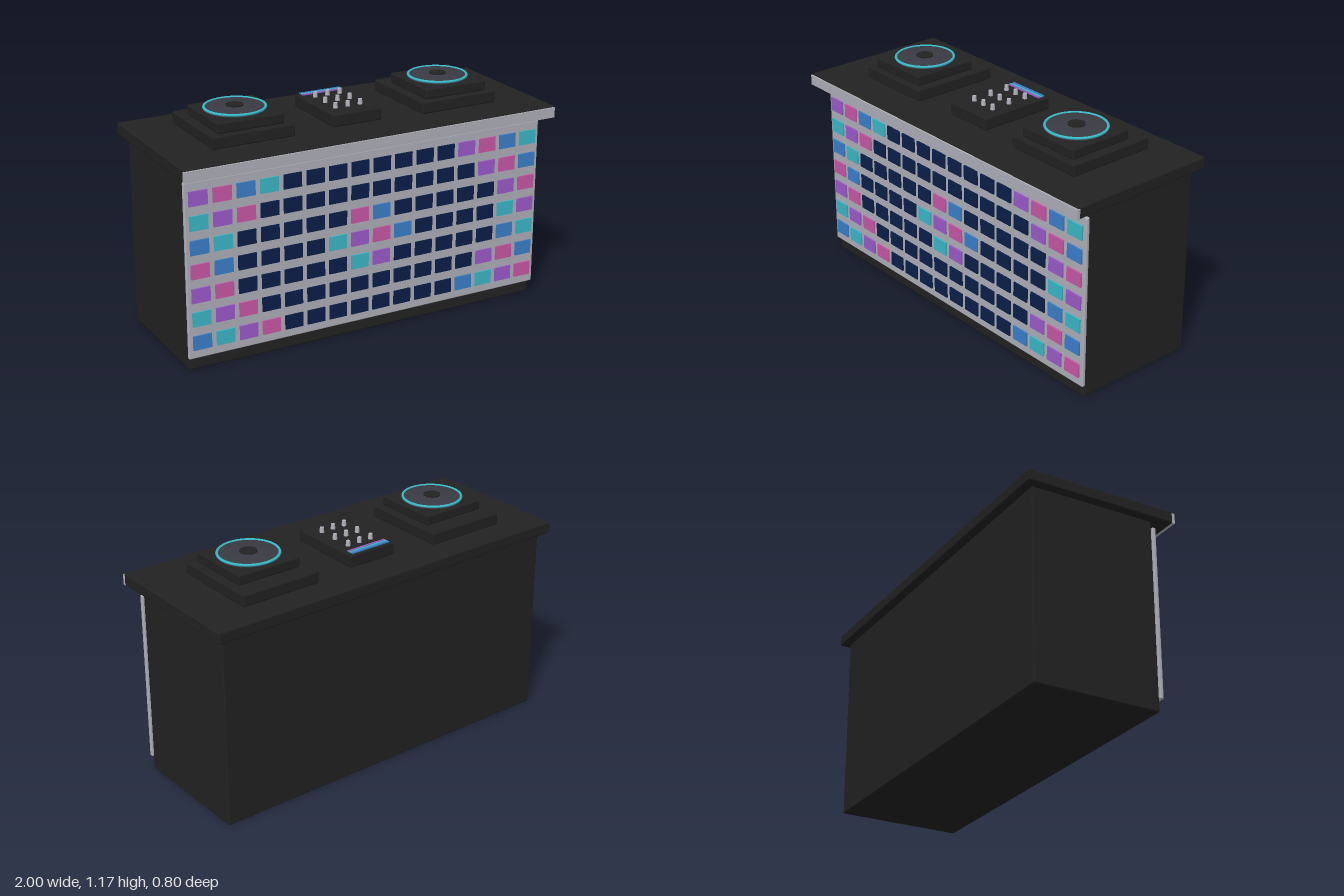
import * as THREE from 'three';
import { RoundedBoxGeometry } from 'three/addons/geometries/RoundedBoxGeometry.js';

const material = (name, color) => {
  const m = new THREE.MeshStandardMaterial({ color });
  m.name = name;
  return m;
};

export function createModel() {
  const black = material('black', 0x222222);
  const silver = material('silver', 0xb0b1ba);
  const slate = material('slate', 0x3a3a44);
  const navy = material('navy', 0x0b1f4a);
  const cyan = material('cyan', 0x3ab8c8);
  const blue = material('blue', 0x3a80cc);
  const purple = material('purple', 0x9c5acc);
  const pink = material('pink', 0xca58a8);

  const model = new THREE.Group();
  model.name = 'djBooth';

  const add = (parent, name, geometry, mat, x = 0, y = 0, z = 0) => {
    const mesh = new THREE.Mesh(geometry, mat);
    mesh.name = name;
    mesh.position.set(x, y, z);
    parent.add(mesh);
    return mesh;
  };
  // Box given by its limits on each axis; r rounds the edges
  const box = (parent, name, mat, [x0, x1], [y0, y1], [z0, z1], r = 0) => {
    const size = [x1 - x0, y1 - y0, z1 - z0];
    const g = r ? new RoundedBoxGeometry(...size, 2, r) : new THREE.BoxGeometry(...size);
    return add(parent, name, g, mat, (x0 + x1) / 2, (y0 + y1) / 2, (z0 + z1) / 2);
  };

  // Desk
  box(model, 'body', black, [-0.96, 0.96], [0, 0.972], [-0.36, 0.292], 0.008);
  box(model, 'tabletop', black, [-1, 1], [0.972, 1.032], [-0.4, 0.392], 0.008);
  box(model, 'frontTrim', silver, [-1, 1], [0.972, 1.024], [0.384, 0.4]);
  box(model, 'frontPanel', silver, [-0.968, 0.968], [0.065, 0.94], [0.292, 0.312], 0.006);

  // Light grid on the front panel
  const pattern = [
    'PKBC........PKBC',
    'CPK..........PKB',
    'BC.....KB.....PK',
    'KB....CPKB....CP',
    'PK.....CP.....BC',
    'CPK..........PKB',
    'BCPK........BCPK',
  ];
  const palette = { P: purple, K: pink, B: blue, C: cyan, '.': navy };
  const cell = new THREE.BoxGeometry(0.094, 0.072, 0.009);
  const lights = new THREE.Group();
  lights.name = 'lightGrid';
  model.add(lights);
  pattern.forEach((row, j) => [...row].forEach((key, i) => {
    add(lights, 'lightCell', cell, palette[key], -0.9 + i * 0.12, 0.86 - j * 0.119, 0.3155);
  }));

  // Two turntables
  for (const side of [-1, 1]) {
    const deck = new THREE.Group();
    deck.name = side > 0 ? 'leftTurntable' : 'rightTurntable';
    deck.position.x = side * 0.56;
    model.add(deck);
    box(deck, 'deckBase', black, [-0.212, 0.212], [1.032, 1.093], [-0.26, 0.207], 0.008);
    box(deck, 'deckPlinth', black, [-0.172, 0.172], [1.093, 1.145], [-0.168, 0.178], 0.008);
    // Slightly domed record
    const profile = [[0, 1.163], [0.04, 1.162], [0.146, 1.157], [0.146, 1.143]];
    add(deck, 'record', new THREE.LatheGeometry(profile.map(p => new THREE.Vector2(...p)).reverse(), 48), slate);
    const ring = add(deck, 'glowRing', new THREE.TorusGeometry(0.146, 0.007, 8, 64), cyan, 0, 1.156, 0);
    ring.rotation.x = Math.PI / 2;
    add(deck, 'hub', new THREE.CylinderGeometry(0.042, 0.042, 0.012, 32), black, 0, 1.161, 0);
  }

  // Mixer with knobs and light bars
  const mixer = new THREE.Group();
  mixer.name = 'mixer';
  model.add(mixer);
  box(mixer, 'mixerBase', black, [-0.132, 0.132], [1.032, 1.096], [-0.222, 0.182], 0.008);
  const knob = new THREE.CylinderGeometry(0.01, 0.012, 0.028, 16);
  for (const x of [-0.068, 0, 0.068]) {
    for (const z of [-0.12, -0.018, 0.085]) add(mixer, 'knob', knob, silver, x, 1.109, z);
  }
  [blue, cyan, purple].forEach((mat, i) => {
    const z = -0.204 + i * 0.015;
    box(mixer, 'lightBar', mat, [-0.112, 0.112], [1.094, 1.101], [z - 0.005, z + 0.005]);
  });

  return model;
}
